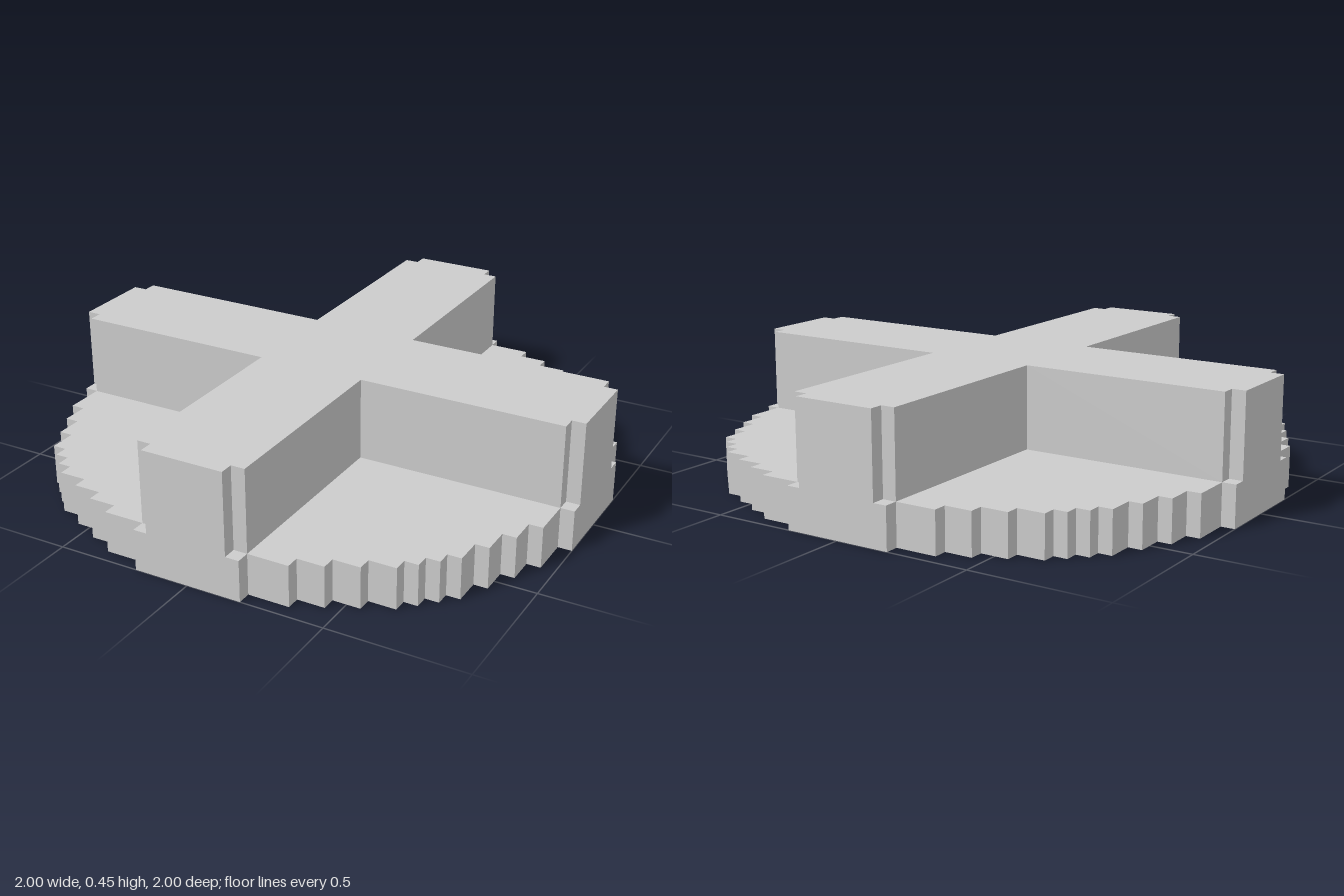
import * as THREE from 'three';

// Outer corners of one quadrant, from the +x side round to the +z side
const DISC = [
  [1, 0.2], [0.95, 0.35], [0.9, 0.45], [0.85, 0.55], [0.8, 0.65], [0.75, 0.7],
  [0.7, 0.75], [0.65, 0.8], [0.55, 0.85], [0.45, 0.9], [0.35, 0.95], [0.2, 1],
];
const CROSS = [[1, 0.15], [0.95, 0.2], [0.2, 0.95], [0.15, 1]];

// Stepped outline: adds the inner corners and repeats the quadrant four times
function steppedShape(corners) {
  let quadrant = [];
  corners.forEach(([x, y], i) => {
    if (i > 0) quadrant.push(new THREE.Vector2(x, corners[i - 1][1]));
    quadrant.push(new THREE.Vector2(x, y));
  });
  const outline = [];
  for (let q = 0; q < 4; q++) {
    outline.push(...quadrant);
    quadrant = quadrant.map((p) => new THREE.Vector2(-p.y, p.x));
  }
  return new THREE.Shape(outline);
}

// Upright slab from y = bottom to y = top
function slab(name, corners, bottom, top, material) {
  const geometry = new THREE.ExtrudeGeometry(steppedShape(corners), {
    depth: top - bottom,
    bevelEnabled: false,
  });
  geometry.rotateX(-Math.PI / 2);
  geometry.translate(0, bottom, 0);
  const mesh = new THREE.Mesh(geometry, material);
  mesh.name = name;
  return mesh;
}

export function createModel() {
  const group = new THREE.Group();
  group.name = 'crossOnDisc';
  const grey = new THREE.MeshStandardMaterial({ color: 0xcccccc, flatShading: true });

  // Round stepped base with a raised cross on top
  group.add(slab('baseDisc', DISC, 0, 0.15, grey));
  group.add(slab('raisedCross', CROSS, 0.15, 0.45, grey));
  return group;
}
